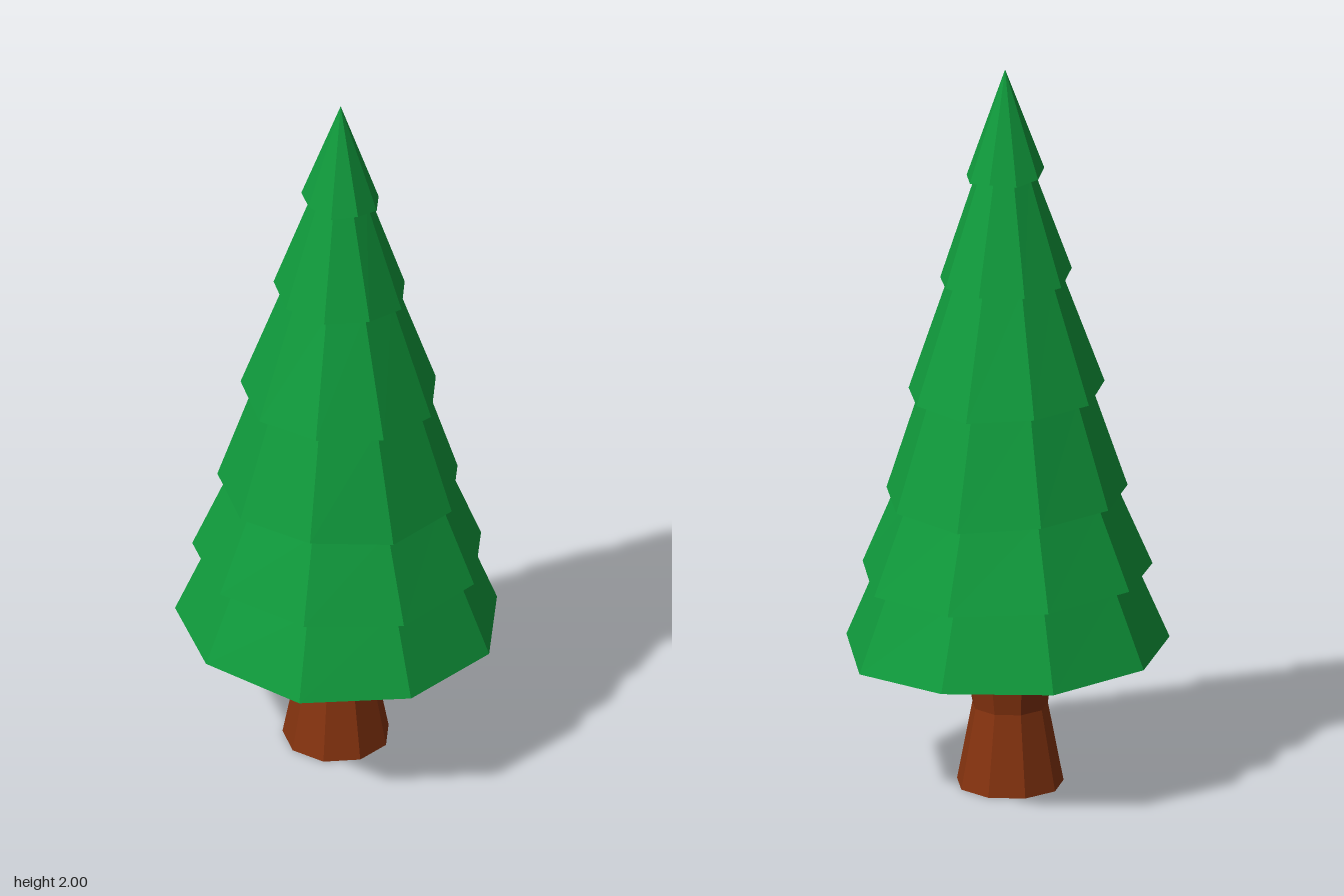
import * as THREE from 'three';

const SIDES = 9;

const needleGreen = new THREE.MeshStandardMaterial({ color: 0x109a3c });
needleGreen.name = 'needleGreen';
const barkBrown = new THREE.MeshStandardMaterial({ color: 0x85330f });
barkBrown.name = 'barkBrown';

// Nine-sided ring; wobble lifts and drops its corners a little
function ring(radius, y, cx, cz, wobble = 0, phase = 0) {
  return Array.from({ length: SIDES }, (_, i) => {
    const a = (i / SIDES) * Math.PI * 2;
    const dy = wobble * (Math.sin(i * 2.4 + phase) * 0.6 - Math.sin(a));
    return new THREE.Vector3(cx + radius * Math.sin(a), y + dy, cz - radius * Math.cos(a));
  });
}

// Joins rings with separate faces so every facet stays flat
function loft(rings) {
  const points = [];
  const face = (a, b, c) => {
    const area = b.clone().sub(a).cross(c.clone().sub(a)).length();
    if (area > 1e-8) points.push(a, b, c);
  };
  for (let k = 0; k < rings.length - 1; k++) {
    const low = rings[k], high = rings[k + 1];
    for (let i = 0; i < SIDES; i++) {
      const j = (i + 1) % SIDES;
      face(low[i], high[i], low[j]);
      face(low[j], high[i], high[j]);
    }
  }
  const geometry = new THREE.BufferGeometry().setFromPoints(points);
  geometry.computeVertexNormals();
  return geometry;
}

function addPart(group, name, rings, material) {
  const mesh = new THREE.Mesh(loft(rings), material);
  mesh.name = name;
  group.add(mesh);
}

export function createModel() {
  const tree = new THREE.Group();
  tree.name = 'pineTree';

  // Waisted trunk with a closed base
  addPart(tree, 'trunk', [
    ring(0, 0, -0.005, -0.005),
    ring(0.144, 0, -0.005, -0.005),
    ring(0.102, 0.22, -0.005, -0.005),
    ring(0.138, 0.44, -0.002, 0),
  ], barkBrown);

  // Branch tiers: rim radius, rim height, top radius, top height
  const tiers = [
    [0.437, 0.382, 0.345, 0.600],
    [0.392, 0.590, 0.295, 0.820],
    [0.326, 0.808, 0.228, 1.105],
    [0.265, 1.098, 0.150, 1.425],
    [0.178, 1.418, 0.076, 1.715],
    [0.105, 1.708, 0, 2.0],
  ];
  let underside = ring(0.134, 0.437, 0, 0.003);
  tiers.forEach(([rimR, rimY, topR, topY], t) => {
    const cz = 0.01 - 0.001 * t;
    const rim = ring(rimR, rimY, 0.001 * t, cz, 0.011, t);
    const top = ring(topR, topY, 0.001 * t, cz);
    addPart(tree, `branchTier${t + 1}`, [underside, rim, top], needleGreen);
    underside = top;
  });

  return tree;
}
